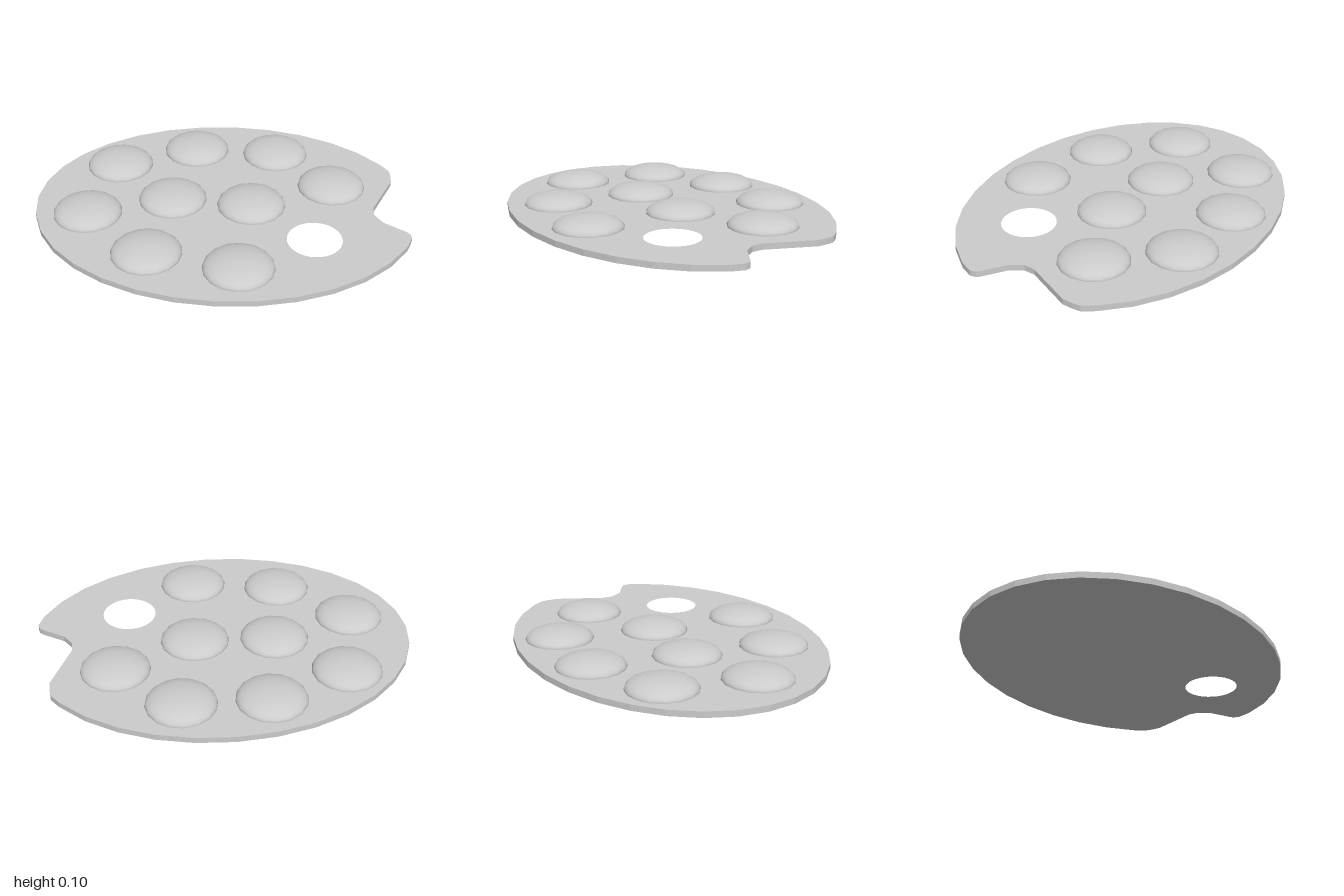
import * as THREE from 'three';

const THICKNESS = 0.032;

// Oval board with a finger notch on one side and a thumb hole
function createBoard(material) {
  const points = [];
  // 32-sided oval, left open where the notch sits
  for (let i = 2; i <= 29; i++) {
    const a = (i / 32) * Math.PI * 2;
    points.push([0.025 + 1.025 * Math.cos(a), 0.79 * Math.sin(a)]);
  }
  // notch edge, listed as x, z
  points.push(
    [0.92, -0.38], [0.925, -0.34], [0.925, -0.28], [0.815, -0.02],
    [0.815, 0.04], [0.86, 0.107], [0.976, 0.18], [0.993, 0.197], [1, 0.228]
  );
  const shape = new THREE.Shape(points.map(([x, z]) => new THREE.Vector2(x, -z)));
  const hole = new THREE.Path();
  hole.absarc(0.5, -0.278, 0.144, 0, Math.PI * 2, true);
  shape.holes.push(hole);

  const geometry = new THREE.ExtrudeGeometry(shape, {
    depth: THICKNESS, bevelEnabled: false, curveSegments: 16
  });
  geometry.rotateX(-Math.PI / 2);
  const board = new THREE.Mesh(geometry, material);
  board.name = 'board';
  return board;
}

// Flattened half-spheres of paint resting on the board
function createPaintBlobs(material) {
  const group = new THREE.Group();
  group.name = 'paintBlobs';
  const geometry = new THREE.SphereGeometry(0.184, 16, 8, 0, Math.PI * 2, 0, Math.PI / 2);
  geometry.scale(1, 0.345, 1);
  const centres = [
    [-0.6, -0.345], [-0.18, -0.53], [0.273, -0.517], [0.59, -0.21],
    [-0.267, -0.03], [0.16, -0.005], [-0.705, 0.125], [-0.35, 0.445], [0.123, 0.532]
  ];
  centres.forEach(([x, z], i) => {
    const blob = new THREE.Mesh(geometry, material);
    blob.name = `paintBlob${i + 1}`;
    blob.position.set(x, THICKNESS, z);
    group.add(blob);
  });
  return group;
}

export function createModel() {
  const material = new THREE.MeshStandardMaterial({ color: 0xcccccc });
  const palette = new THREE.Group();
  palette.name = 'paintPalette';
  palette.add(createBoard(material), createPaintBlobs(material));
  return palette;
}
